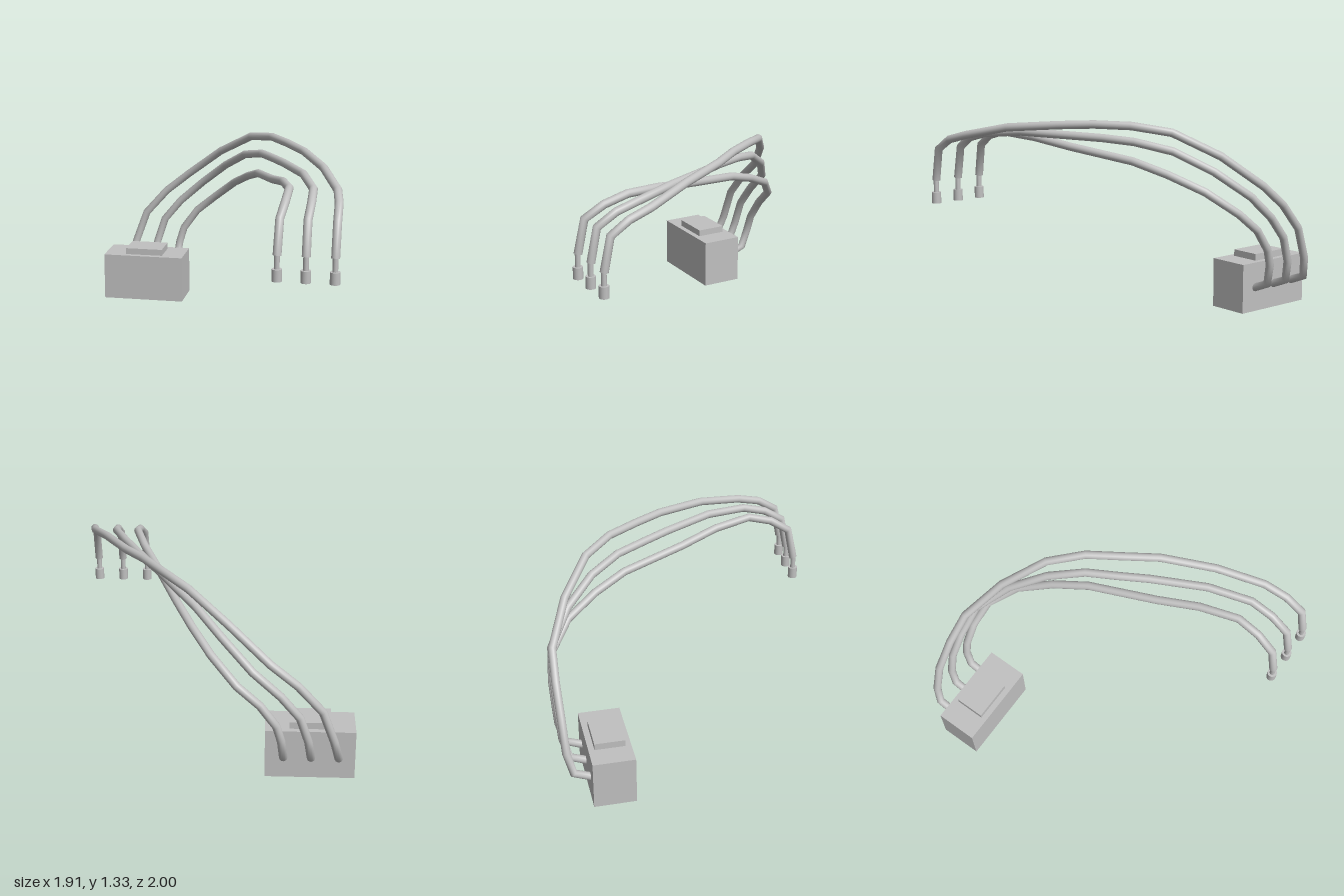
import * as THREE from 'three';

const grey = new THREE.MeshStandardMaterial({ color: 0xc0c0c0 });
grey.name = 'light grey';

const CABLE_RADIUS = 0.028;

// Curve whose samples fall exactly on its control points, giving crisp bends
class BentPath extends THREE.CatmullRomCurve3 {
  getPointAt(u, target) { return this.getPoint(u, target); }
  getTangentAt(u, target) { return this.getTangent(u, target); }
}

function addMesh(parent, name, geometry, x = 0, y = 0, z = 0) {
  const mesh = new THREE.Mesh(geometry, grey);
  mesh.name = name;
  mesh.position.set(x, y, z);
  parent.add(mesh);
  return mesh;
}

// Cable with a narrow pin and a terminal hanging from its free end
function makeCable(name, points) {
  const cable = new THREE.Group();
  cable.name = name;
  const path = new BentPath(points.map(p => new THREE.Vector3(...p)));
  addMesh(cable, 'sleeve', new THREE.TubeGeometry(path, points.length - 1, CABLE_RADIUS, 16));

  const [x, y, z] = points[points.length - 1];
  const cap = addMesh(cable, 'sleeveEnd', new THREE.CircleGeometry(CABLE_RADIUS, 16), x, y, z);
  cap.quaternion.setFromUnitVectors(new THREE.Vector3(0, 0, 1), path.getTangent(1));
  addMesh(cable, 'pin', new THREE.CylinderGeometry(0.018, 0.018, 0.12, 16), x, 0.8, z + 0.003);
  addMesh(cable, 'terminal', new THREE.CylinderGeometry(0.033, 0.033, 0.08, 16), x, 0.714, z + 0.003);
  return cable;
}

export function createModel() {
  const model = new THREE.Group();
  model.name = 'cableHarness';

  // Connector block with its raised latch
  addMesh(model, 'connectorBlock', new THREE.BoxGeometry(0.596, 0.34, 0.286), -0.662, 0.17, -0.668);
  addMesh(model, 'latchPlate', new THREE.BoxGeometry(0.276, 0.05, 0.206), -0.662, 0.361, -0.668);

  // Three cables leaving the back of the block and crossing at the top
  model.add(makeCable('outerCable', [
    [-0.845, 0.16, -0.79], [-0.845, 0.21, -0.92], [-0.81, 0.35, -0.957], [-0.73, 0.57, -0.968],
    [-0.57, 0.75, -0.972], [-0.39, 0.895, -0.962], [-0.12, 1.107, -0.83], [0.14, 1.265, -0.64],
    [0.32, 1.305, -0.445], [0.46, 1.307, -0.23], [0.6, 1.295, -0.03], [0.77, 1.262, 0.31],
    [0.895, 1.19, 0.625], [0.92, 1.145, 0.79], [0.925, 1.065, 0.92], [0.922, 0.84, 0.965],
  ]));
  model.add(makeCable('middleCable', [
    [-0.665, 0.16, -0.79], [-0.665, 0.21, -0.92], [-0.643, 0.35, -0.957], [-0.585, 0.525, -0.968],
    [-0.46, 0.675, -0.97], [-0.28, 0.835, -0.955], [-0.08, 1.005, -0.81], [0.1, 1.135, -0.61],
    [0.255, 1.19, -0.4], [0.36, 1.205, -0.2], [0.465, 1.212, -0.015], [0.64, 1.22, 0.335],
    [0.74, 1.19, 0.625], [0.748, 1.145, 0.79], [0.742, 1.065, 0.92], [0.74, 0.84, 0.965],
  ]));
  model.add(makeCable('innerCable', [
    [-0.485, 0.16, -0.79], [-0.485, 0.21, -0.92], [-0.468, 0.35, -0.957], [-0.435, 0.46, -0.965],
    [-0.33, 0.605, -0.968], [-0.18, 0.73, -0.945], [-0.01, 0.877, -0.8], [0.125, 0.98, -0.585],
    [0.235, 1.055, -0.36], [0.4, 1.12, 0.09], [0.51, 1.17, 0.36], [0.585, 1.19, 0.625],
    [0.583, 1.145, 0.79], [0.566, 1.065, 0.92], [0.558, 0.84, 0.965],
  ]));

  return model;
}
